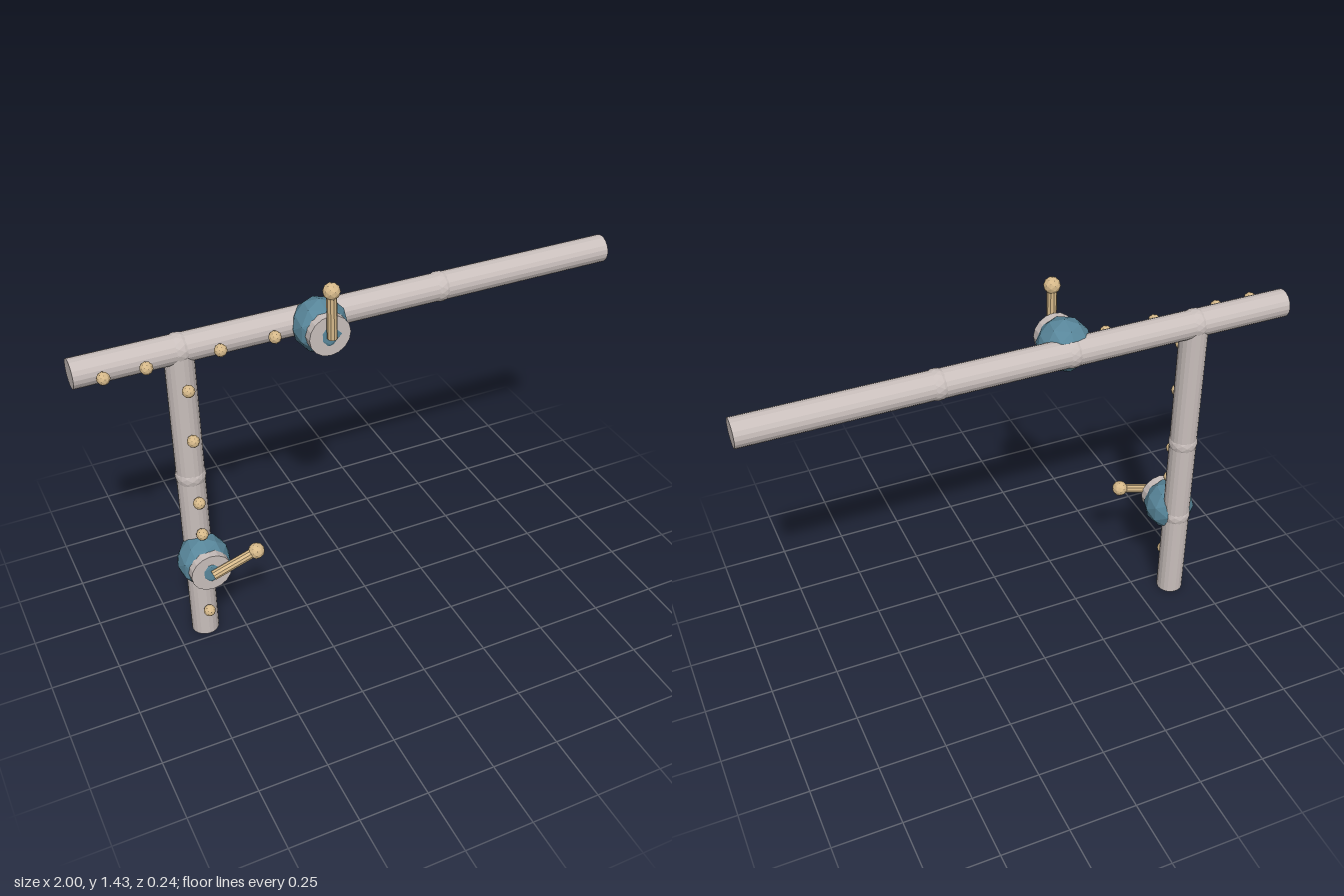
import * as THREE from 'three';

const mat = (name, color) => {
  const m = new THREE.MeshStandardMaterial({ color, flatShading: true });
  m.name = name;
  return m;
};

export function createModel() {
  const model = new THREE.Group();
  const steel = mat('warm grey', 0xc9bfbc);
  const blue = mat('slate blue', 0x58869a);
  const tan = mat('tan', 0xd6b98a);

  const PIPE_R = 0.051, PIPE_Z = -0.069, TOP_Y = 1.23, POST_X = -0.64;

  const add = (name, geo, material, x, y, z, parent = model) => {
    const mesh = new THREE.Mesh(geo, material);
    mesh.name = name;
    mesh.position.set(x, y, z);
    parent.add(mesh);
    return mesh;
  };

  // Faceted ball with one vertex pointing to the front
  const ball = (r, detail = 1) => {
    const g = new THREE.IcosahedronGeometry(r, detail);
    g.rotateX(Math.atan2((1 + Math.sqrt(5)) / 2, 1));
    return g.rotateZ(Math.PI / 2);
  };

  // Pipes
  add('crossPipe', new THREE.CylinderGeometry(PIPE_R, PIPE_R, 2, 20).rotateZ(Math.PI / 2),
    steel, 0, TOP_Y, PIPE_Z);
  add('uprightPipe', new THREE.CylinderGeometry(PIPE_R, PIPE_R, TOP_Y, 20),
    steel, POST_X, TOP_Y / 2, PIPE_Z);

  // Joints that just break through the pipe walls
  const joints = [[POST_X, TOP_Y], [-0.163, TOP_Y], [0.32, TOP_Y], [POST_X, 0.72], [POST_X, 0.375]];
  for (const [x, y] of joints) add('pipeJoint', ball(0.055, 2), steel, x, y, PIPE_Z);

  // Small beads along the front of both pipes
  for (const x of [-0.91, -0.77, -0.52, -0.33]) add('bead', ball(0.0225), tan, x, TOP_Y, 0.004);
  for (const y of [1.105, 0.905, 0.64, 0.5, 0.285, 0.135]) add('bead', ball(0.0225), tan, POST_X, y, 0.004);

  // Valve: ball body, front disc and lever; angle turns the lever from upright
  const valve = (name, x, y, angle) => {
    const g = new THREE.Group();
    g.name = name;
    g.position.set(x, y, 0);
    add('valveBody', ball(0.097), blue, 0, 0, -0.01, g);
    add('valveDisc', new THREE.CylinderGeometry(0.075, 0.075, 0.05, 16).rotateX(Math.PI / 2),
      steel, 0, 0, 0.052, g);
    const lever = new THREE.Group();
    lever.name = 'lever';
    lever.position.z = 0.092;
    lever.rotation.z = angle;
    add('leverRod', new THREE.CylinderGeometry(0.018, 0.018, 0.17, 10), tan, 0, 0.085, 0, lever);
    add('leverKnob', ball(0.03), tan, 0, 0.175, 0, lever);
    g.add(lever);
    model.add(g);
  };
  valve('upperValve', -0.163, TOP_Y, 0);
  valve('lowerValve', POST_X, 0.377, -1.257);

  return model;
}
